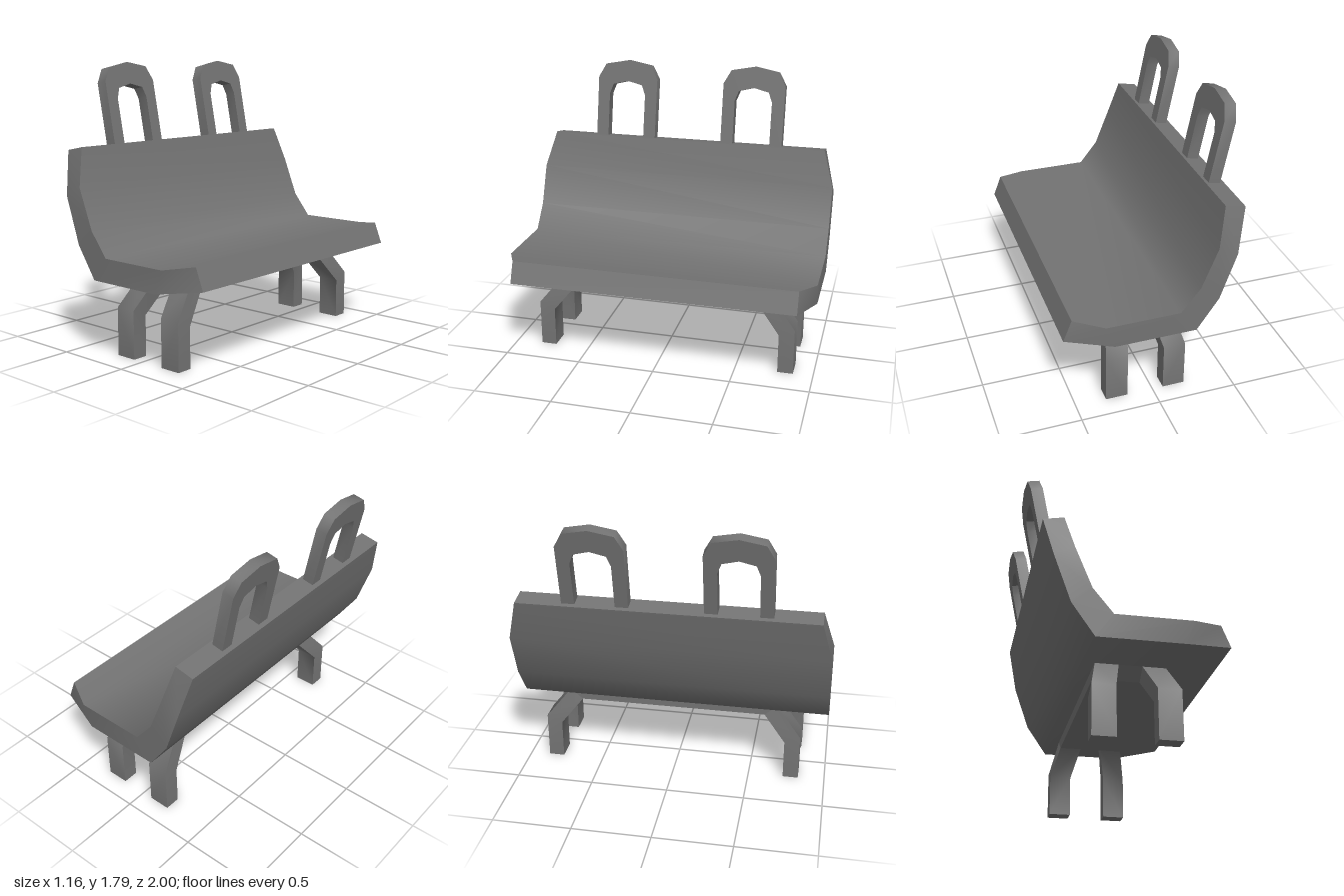
import * as THREE from 'three';
import { toCreasedNormals } from 'three/addons/utils/BufferGeometryUtils.js';

// Closed skin over a run of four-cornered sections, with capped ends.
// Reverse the winding for sections that run clockwise.
function loft(sections, crease, reverse = false) {
  const index = [];
  const quad = (a, b, c, d) => index.push(...(reverse ? [a, c, b, a, d, c] : [a, b, c, a, c, d]));
  for (let s = 0; s < sections.length - 1; s++) {
    for (let i = 0; i < 4; i++) {
      const j = (i + 1) % 4;
      quad(s * 4 + i, s * 4 + j, s * 4 + 4 + j, s * 4 + 4 + i);
    }
  }
  const e = (sections.length - 1) * 4;
  quad(3, 2, 1, 0);
  quad(e, e + 1, e + 2, e + 3);
  const geometry = new THREE.BufferGeometry();
  geometry.setAttribute('position', new THREE.Float32BufferAttribute(sections.flat(2), 3));
  geometry.setIndex(index);
  return toCreasedNormals(geometry, crease);
}

export function createModel() {
  const model = new THREE.Group();
  const grey = new THREE.MeshStandardMaterial({ color: 0x737373 });
  grey.name = 'grey';
  const add = (name, geometry, parent = model) => {
    const mesh = new THREE.Mesh(geometry, grey);
    mesh.name = name;
    parent.add(mesh);
    return mesh;
  };

  // Curved seat and backrest: outer x, y, inner x, y, half width
  const seatProfile = [
    [-0.515, 1.26, -0.39, 1.285, 0.93],
    [-0.455, 0.99, -0.335, 1.05, 1],
    [-0.355, 0.7, -0.235, 0.8, 1],
    [-0.22, 0.503, -0.115, 0.65, 1],
    [0.29, 0.503, 0.345, 0.65, 1],
    [0.578, 0.545, 0.525, 0.68, 0.91],
  ];
  add('seatShell', loft(seatProfile.map(([ox, oy, ix, iy, w]) => [
    [ox, oy, w], [ix, iy, w], [ix, iy, -w], [ox, oy, -w],
  ]), 1.0, true));

  // Two tilted arched handles on top of the backrest
  const arch = new THREE.Shape([
    [-0.207, -0.03], [-0.125, -0.03], [-0.125, 0.29], [-0.1, 0.355], [0, 0.38],
    [0.1, 0.355], [0.125, 0.29], [0.125, -0.03], [0.207, -0.03],
    [0.207, 0.4], [0.157, 0.49], [0, 0.52], [-0.157, 0.49], [-0.207, 0.4],
  ].map(([u, v]) => new THREE.Vector2(u, v)));
  const archSolid = new THREE.ExtrudeGeometry(arch, { depth: 0.075, bevelEnabled: false });
  archSolid.translate(0, 0, -0.0375).rotateY(Math.PI / 2);
  const archGeometry = toCreasedNormals(archSolid, 0.95);
  for (const side of [1, -1]) {
    const handle = add(side > 0 ? 'leftHandle' : 'rightHandle', archGeometry);
    handle.position.set(-0.447, 1.27, side * 0.436);
    handle.rotation.z = 0.195;
  }

  // Base: a flat plate with sloping ends and four bent legs
  const base = new THREE.Group();
  base.name = 'base';
  base.position.set(0.048, 0, -0.022);
  model.add(base);
  const plateEnd = (s) => [
    [0.21, 0.43, s * 0.61], [0.21, 0.498, s * 0.69], [-0.21, 0.498, s * 0.69], [-0.21, 0.43, s * 0.61],
  ];
  add('basePlate', loft([plateEnd(-1), plateEnd(1)], 0.5), base);

  // Leg sections: inner x, outer x, inner y, z, outer y, z
  const legProfile = [
    [0.117, 0.257, 0, 0.75, 0, 0.85],
    [0.117, 0.257, 0.26, 0.75, 0.305, 0.85],
    [0.07, 0.21, 0.43, 0.61, 0.498, 0.69],
  ];
  for (const sx of [1, -1]) {
    for (const sz of [1, -1]) {
      const sections = legProfile.map(([xi, xo, yi, zi, yo, zo]) => [
        [sx * xi, yi, sz * zi], [sx * xi, yo, sz * zo],
        [sx * xo, yo, sz * zo], [sx * xo, yi, sz * zi],
      ]);
      add(`${sx > 0 ? 'front' : 'back'}${sz > 0 ? 'Left' : 'Right'}Leg`, loft(sections, 0.9, sx * sz < 0), base);
    }
  }
  return model;
}
